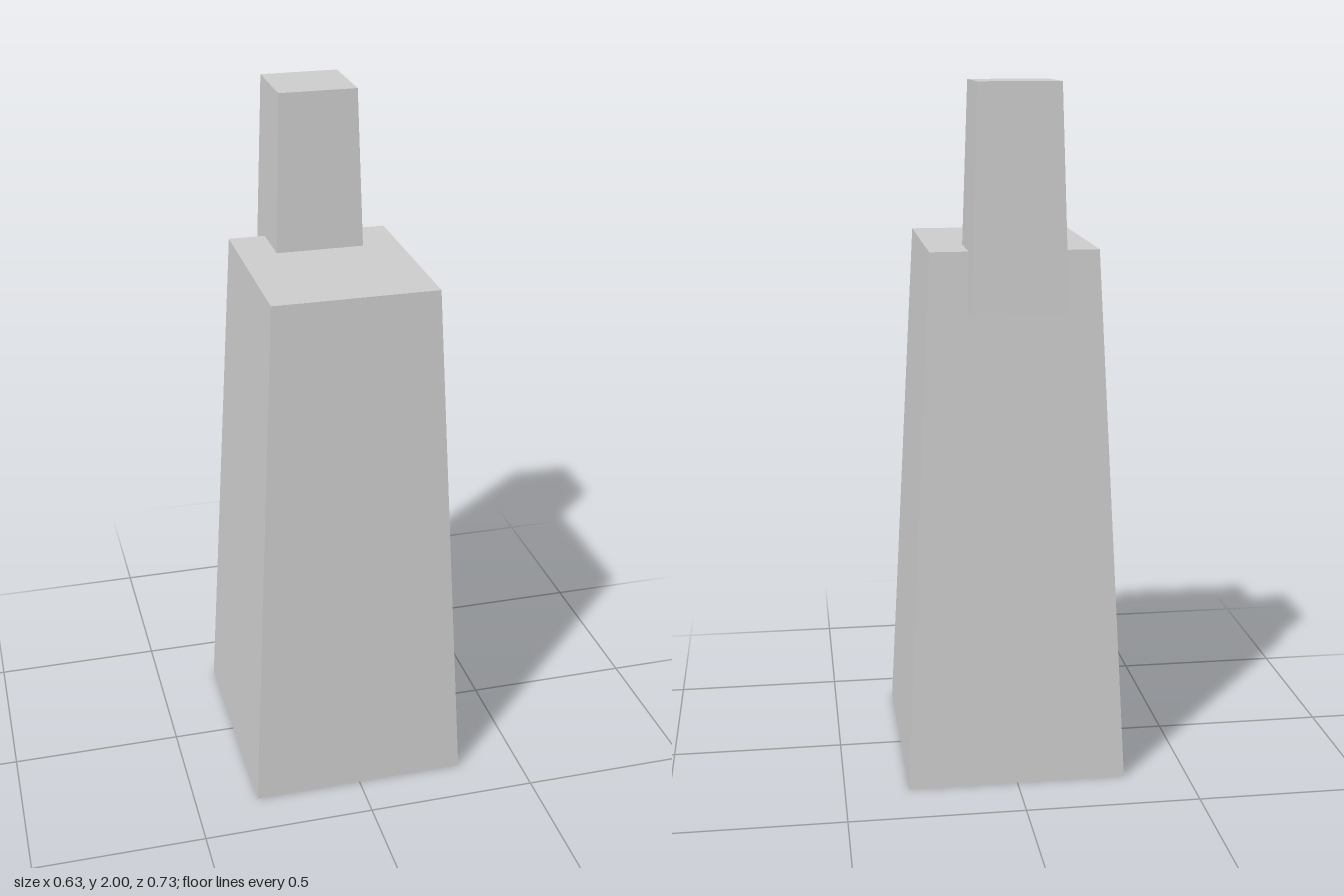
import * as THREE from 'three';

// Box whose lower and upper rectangles differ: each is { x: half width, back, front, y }
function taperedBox(name, low, high, material) {
  const geometry = new THREE.BoxGeometry(1, 1, 1);
  const p = geometry.attributes.position;
  for (let i = 0; i < p.count; i++) {
    const r = p.getY(i) > 0 ? high : low;
    p.setXYZ(i, Math.sign(p.getX(i)) * r.x, r.y, p.getZ(i) > 0 ? r.front : r.back);
  }
  geometry.computeVertexNormals();
  const mesh = new THREE.Mesh(geometry, material);
  mesh.name = name;
  return mesh;
}

export function createModel() {
  const group = new THREE.Group();
  group.name = 'taperedTower';
  const grey = new THREE.MeshStandardMaterial({ color: 0xcccccc });
  grey.name = 'light grey';

  // Tall body narrowing towards its flat top
  group.add(taperedBox('body',
    { x: 0.316, back: -0.327, front: 0.362, y: 0 },
    { x: 0.235, back: -0.26, front: 0.293, y: 1.545 }, grey));

  // Narrow stack sunk into the rear edge and overhanging the back
  group.add(taperedBox('stack',
    { x: 0.133, back: -0.363, front: -0.098, y: 1.38 },
    { x: 0.113, back: -0.345, front: -0.12, y: 2 }, grey));

  return group;
}
